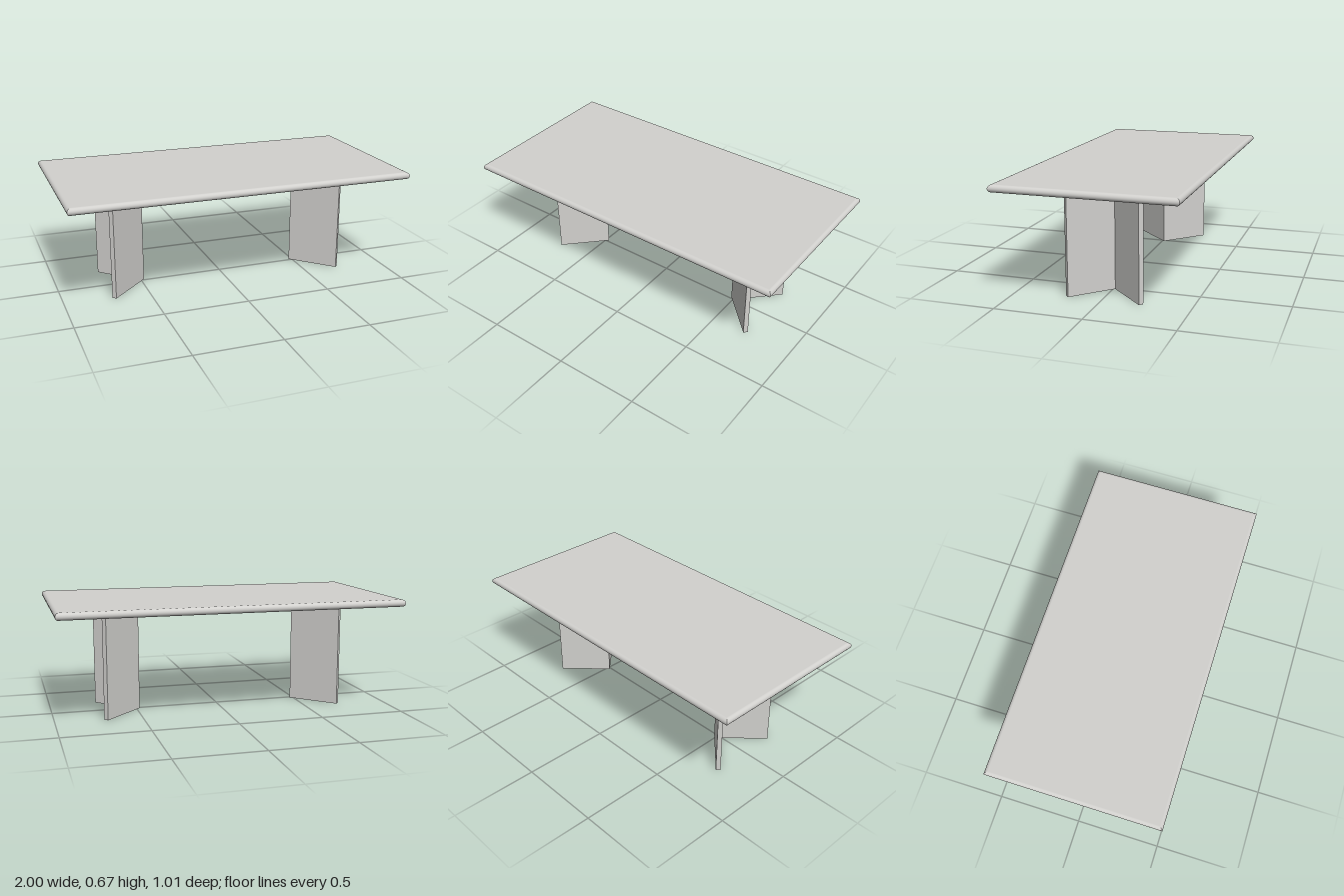
import * as THREE from 'three';

const HALF_X = 1, HALF_Z = 0.507, TOP = 0.667, UNDERSIDE = 0.625;

// Rectangular slab with a half-round edge, mitred at the four corners
function slabGeometry() {
  const r = (TOP - UNDERSIDE) / 2, midY = UNDERSIDE + r, steps = 12;
  const corners = [[-1, 1], [1, 1], [1, -1], [-1, -1]];
  const outward = [[0, 1], [1, 0], [0, -1], [-1, 0]];
  const pos = [], nor = [], idx = [];
  const add = ([sx, sz], inset, y, n) => {
    pos.push(sx * (HALF_X - inset), y, sz * (HALF_Z - inset));
    nor.push(...n);
  };

  // Rounded edge, one strip per side
  for (let s = 0; s < 4; s++) {
    const base = pos.length / 3;
    for (let i = 0; i <= steps; i++) {
      const a = -Math.PI / 2 + (Math.PI * i) / steps;
      const c = Math.cos(a), n = [outward[s][0] * c, Math.sin(a), outward[s][1] * c];
      for (const corner of [corners[s], corners[(s + 1) % 4]]) {
        add(corner, r * (1 - c), midY + r * Math.sin(a), n);
      }
      if (i < steps) {
        const k = base + 2 * i;
        idx.push(k, k + 1, k + 3, k, k + 3, k + 2);
      }
    }
  }

  // Flat top and underside
  for (const dir of [1, -1]) {
    const k = pos.length / 3;
    corners.forEach((corner) => add(corner, r, midY + dir * r, [0, dir, 0]));
    idx.push(...(dir > 0 ? [k, k + 1, k + 2, k, k + 2, k + 3] : [k, k + 2, k + 1, k, k + 3, k + 2]));
  }

  const g = new THREE.BufferGeometry();
  g.setAttribute('position', new THREE.Float32BufferAttribute(pos, 3));
  g.setAttribute('normal', new THREE.Float32BufferAttribute(nor, 3));
  g.setIndex(idx);
  return g;
}

// Upright V of two plates at right angles, point towards the middle, open outwards
function legGeometry(side) {
  const tip = 0.48, reach = 0.222, t = 0.019, z0 = -0.012;
  const plan = [
    [tip, 0], [tip + reach, -reach], [tip + reach + t, t - reach],
    [tip + 2 * t, 0],
    [tip + reach + t, reach - t], [tip + reach, reach],
  ];
  // shape y becomes -z once the extrusion is stood upright
  const shape = new THREE.Shape(plan.map(([x, z]) => new THREE.Vector2(side * x, -(z + z0))));
  const g = new THREE.ExtrudeGeometry(shape, { depth: UNDERSIDE, bevelEnabled: false });
  return g.rotateX(-Math.PI / 2);
}

export function createModel() {
  const group = new THREE.Group();
  group.name = 'table';
  const paleGrey = new THREE.MeshStandardMaterial({ color: 0xd2d1ce });
  paleGrey.name = 'paleGrey';

  const add = (name, geometry) => {
    const mesh = new THREE.Mesh(geometry, paleGrey);
    mesh.name = name;
    group.add(mesh);
  };

  add('tableTop', slabGeometry());
  add('leftLeg', legGeometry(1));
  add('rightLeg', legGeometry(-1));
  return group;
}
